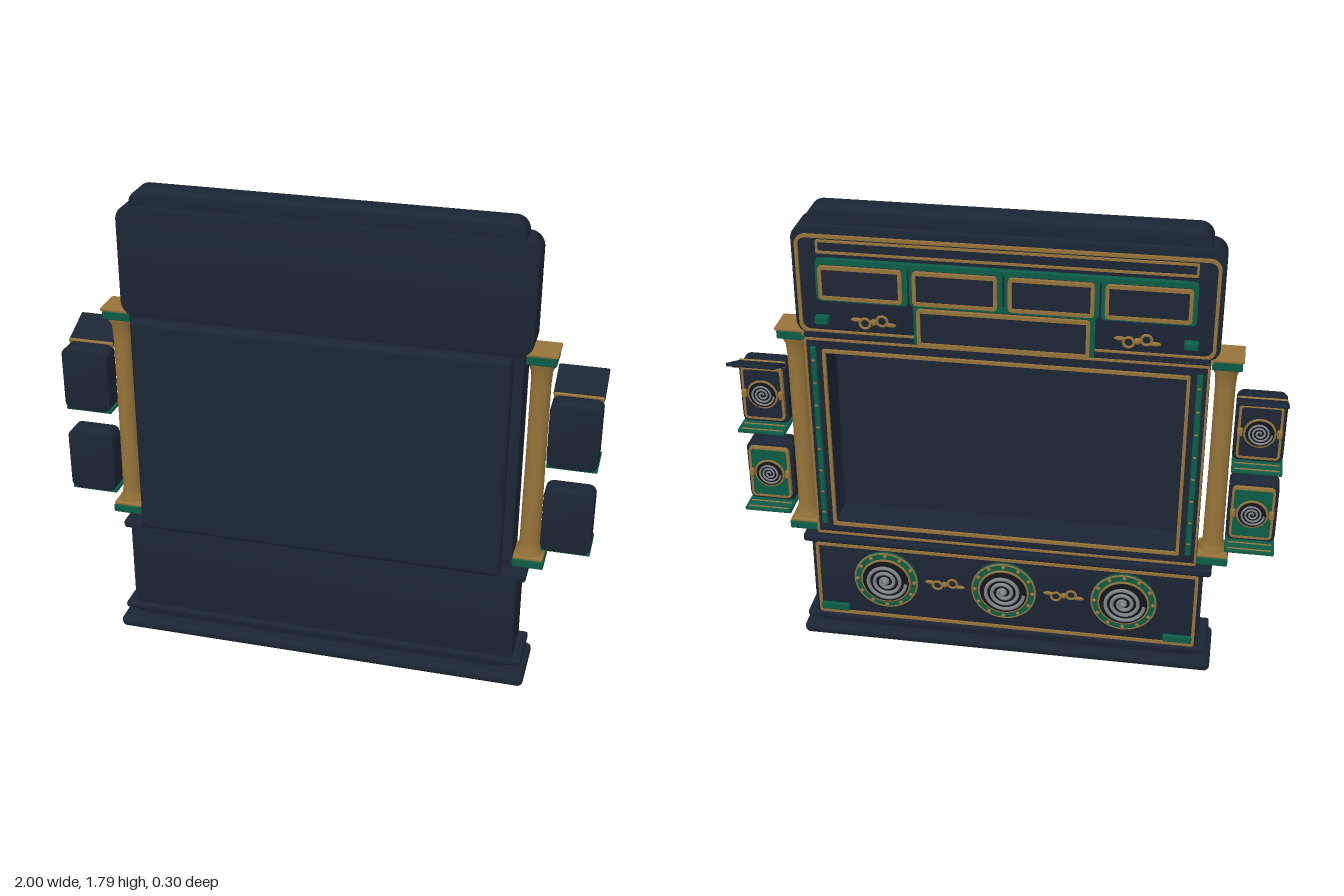
import * as THREE from 'three';
import { toCreasedNormals } from 'three/addons/utils/BufferGeometryUtils.js';
import { RoundedBoxGeometry } from 'three/addons/geometries/RoundedBoxGeometry.js';

const material = (name, color) => new THREE.MeshStandardMaterial({ name, color });

export function createModel() {
  const navy = material('navy', 0x1b2534);
  const gold = material('antique gold', 0x967339);
  const green = material('emerald', 0x0b5b46);
  const black = material('near black', 0x12161c);
  const silver = material('silver', 0x82868a);

  const model = new THREE.Group();
  model.name = 'cabinet';
  // Decorated face: local +z points to the rear of the cabinet
  const rear = new THREE.Group();
  rear.name = 'decoratedFace';
  rear.rotation.y = Math.PI;
  model.add(rear);

  const add = (parent, name, geometry, mat, x = 0, y = 0, z = 0) => {
    const mesh = new THREE.Mesh(geometry, mat);
    mesh.name = name;
    mesh.position.set(x, y, z);
    parent.add(mesh);
    return mesh;
  };
  const roundRect = (T, w, h, r) => {
    const s = new T(), a = w / 2, b = h / 2;
    s.moveTo(-a + r, -b);
    s.lineTo(a - r, -b); s.absarc(a - r, -b + r, r, -Math.PI / 2, 0);
    s.lineTo(a, b - r); s.absarc(a - r, b - r, r, 0, Math.PI / 2);
    s.lineTo(-a + r, b); s.absarc(-a + r, b - r, r, Math.PI / 2, Math.PI);
    s.lineTo(-a, -b + r); s.absarc(-a + r, -b + r, r, Math.PI, Math.PI * 1.5);
    return s;
  };
  // Box given by its limits, with softened edges
  const block = (parent, name, mat, x0, x1, y0, y1, z0, z1, r = 0.006) => {
    const w = x1 - x0, h = y1 - y0, d = z1 - z0;
    const geo = new RoundedBoxGeometry(w, h, d, 3, Math.min(r, w * 0.45, h * 0.45, d * 0.45));
    return add(parent, name, geo, mat, (x0 + x1) / 2, (y0 + y1) / 2, (z0 + z1) / 2);
  };
  // Plate with rounded outline and a small bevel, from z to z + d
  const slab = (parent, name, mat, w, h, d, r, x, y, z, bevel = 0) => {
    const shape = roundRect(THREE.Shape, w - 2 * bevel, h - 2 * bevel, r);
    const geo = new THREE.ExtrudeGeometry(shape, {
      depth: d - 2 * bevel, curveSegments: 6, bevelEnabled: bevel > 0,
      bevelSize: bevel, bevelThickness: bevel, bevelSegments: 2,
    });
    geo.translate(0, 0, bevel);
    return add(parent, name, toCreasedNormals(geo, 0.6), mat, x, y, z);
  };
  // Hollow rectangular moulding
  const frame = (parent, name, mat, w, h, t, d, r, x, y, z) => {
    const shape = roundRect(THREE.Shape, w, h, r);
    shape.holes.push(roundRect(THREE.Path, w - 2 * t, h - 2 * t, Math.max(r - t, 0.002)));
    const geo = new THREE.ExtrudeGeometry(shape, { depth: d, bevelEnabled: false, curveSegments: 6 });
    return add(parent, name, toCreasedNormals(geo, 0.6), mat, x, y, z);
  };
  const disc = (parent, name, mat, r, d, x, y, z) => {
    const geo = new THREE.CylinderGeometry(r, r, d, 32).rotateX(Math.PI / 2);
    return add(parent, name, geo, mat, x, y, z + d / 2);
  };
  const spiral = (parent, name, mat, r, turns, tube, x, y, z) => {
    const pts = [];
    for (let i = 0; i <= turns * 16; i++) {
      const a = (i / 16) * Math.PI * 2, q = r * (0.1 + 0.9 * i / (turns * 16));
      pts.push(new THREE.Vector3(q * Math.cos(a), q * Math.sin(a), 0));
    }
    const geo = new THREE.TubeGeometry(new THREE.CatmullRomCurve3(pts), turns * 28, tube, 6);
    return add(parent, name, geo, mat, x, y, z);
  };
  // Scroll ornament: two curls with leaves and a centre bead
  const scroll = (x, y, z, s) => {
    const g = new THREE.Group();
    g.name = 'scrollOrnament';
    g.position.set(x, y, z);
    g.scale.setScalar(s);
    rear.add(g);
    for (const k of [-1, 1]) {
      add(g, 'curl', new THREE.TorusGeometry(0.017, 0.005, 6, 16), gold, k * 0.028, k * 0.006, 0);
      add(g, 'leaf', new THREE.SphereGeometry(0.015, 10, 6).scale(1.3, 0.5, 0.4), gold, k * 0.056, -k * 0.006, 0);
    }
    add(g, 'bead', new THREE.SphereGeometry(0.012, 10, 8).scale(1, 1, 0.6), gold);
  };

  // Plinth and pedestal
  block(model, 'plinth', navy, -0.8, 0.8, 0.005, 0.052, -0.1, 0.15, 0.021);
  block(model, 'plinthStep', navy, -0.72, 0.72, 0.045, 0.09, -0.06, 0.1);
  slab(model, 'pedestal', navy, 1.5, 0.41, 0.18, 0.03, 0, 0.265, -0.075, 0.006);
  block(model, 'lowerMoulding', navy, -0.785, 0.785, 0.08, 0.107, -0.085, 0.122, 0.01);
  block(model, 'upperMoulding', navy, -0.78, 0.78, 0.438, 0.472, -0.09, 0.105, 0.012);
  frame(rear, 'pedestalTrim', gold, 1.47, 0.325, 0.012, 0.01, 0.012, 0, 0.272, 0.072);

  // Spiral medallions
  for (const x of [-0.46, 0, 0.46]) {
    const g = new THREE.Group();
    g.name = 'medallion';
    g.position.set(x, 0.29, 0.073);
    rear.add(g);
    disc(g, 'ring', green, 0.125, 0.016, 0, 0, 0);
    add(g, 'outerRim', new THREE.TorusGeometry(0.122, 0.004, 6, 40), gold, 0, 0, 0.014);
    add(g, 'innerRim', new THREE.TorusGeometry(0.094, 0.005, 6, 40), gold, 0, 0, 0.018);
    disc(g, 'cone', black, 0.092, 0.022, 0, 0, 0);
    spiral(g, 'spiral', silver, 0.08, 3, 0.0075, 0, 0, 0.024);
    add(g, 'hub', new THREE.SphereGeometry(0.014, 12, 8), silver, 0, 0, 0.024);
    for (let i = 0; i < 12; i++) {
      const a = i * Math.PI / 6;
      add(g, 'stud', new THREE.SphereGeometry(0.008, 8, 6), gold, 0.112 * Math.cos(a), 0.112 * Math.sin(a), 0.016);
    }
  }

  // Hollow middle section with a recess, plus the plain panel on the front
  frame(model, 'recessShell', navy, 1.44, 0.87, 0.075, 0.14, 0.006, 0, 0.9, -0.08);
  block(model, 'recessBack', navy, -0.67, 0.67, 0.5, 1.3, 0.055, 0.066);
  block(model, 'frontPanel', navy, -0.69, 0.69, 0.472, 1.332, 0.09, 0.145, 0.02);
  frame(rear, 'openingTrim', gold, 1.31, 0.745, 0.012, 0.012, 0.006, 0, 0.9, 0.078);
  frame(rear, 'middleTrim', gold, 1.44, 0.83, 0.008, 0.008, 0.006, 0, 0.9, 0.078);

  // Crest
  slab(model, 'crest', navy, 1.5, 0.42, 0.13, 0.05, 0, 1.526, -0.063, 0.006);
  slab(model, 'crestCap', navy, 1.4, 0.13, 0.113, 0.04, 0, 1.727, -0.05, 0.01);
  frame(rear, 'crestTrim', gold, 1.47, 0.375, 0.012, 0.012, 0.04, 0, 1.517, 0.06);
  frame(rear, 'crestBand', gold, 1.32, 0.05, 0.008, 0.01, 0.006, 0, 1.66, 0.06);
  block(rear, 'crestLedge', gold, -0.73, 0.73, 1.316, 1.328, 0.05, 0.08);
  const plaque = (x, y, w, h) => {
    slab(rear, 'plaqueBacking', green, w + 0.036, h + 0.036, 0.022, 0.015, x, y, 0.06);
    slab(rear, 'plaqueFace', navy, w, h, 0.037, 0.012, x, y, 0.062);
    frame(rear, 'plaqueTrim', gold, w + 0.006, h + 0.006, 0.013, 0.013, 0.014, x, y, 0.092);
  };
  for (const x of [-0.5, -0.167, 0.167, 0.5]) plaque(x, 1.54, 0.29, 0.12);
  plaque(0, 1.392, 0.6, 0.135);
  block(rear, 'plaqueRail', green, -0.63, 0.63, 1.595, 1.62, 0.055, 0.08);

  for (const s of [-1, 1]) {
    // Paired small ornaments
    scroll(s * 0.23, 0.29, 0.08, 1.05);
    scroll(s * 0.465, 1.385, 0.07, 1.1);
    block(rear, 'crestCornerPlate', green, s * 0.65 - 0.025, s * 0.65 + 0.025, 1.37, 1.4, 0.055, 0.09);
    block(rear, 'pedestalCornerPlate', green, s * 0.67 - 0.055, s * 0.67 + 0.055, 0.125, 0.155, 0.07, 0.09);
    // Slim pilaster with gold bands
    block(rear, 'pilaster', green, s * 0.688 - 0.011, s * 0.688 + 0.011, 0.53, 1.28, 0.07, 0.092);
    for (let i = 0; i < 8; i++) {
      const y = 0.58 + i * 0.092;
      block(rear, 'pilasterBand', gold, s * 0.688 - 0.007, s * 0.688 + 0.007, y, y + 0.008, 0.08, 0.095);
    }

    // Column with base and capital
    const profile = [[0.05, 0.515], [0.05, 0.53], [0.042, 0.54], [0.038, 0.565], [0.036, 0.9],
      [0.036, 1.2], [0.039, 1.25], [0.05, 1.275], [0.052, 1.295]];
    const shaft = new THREE.LatheGeometry(profile.map(p => new THREE.Vector2(...p)), 24);
    add(model, 'column', shaft, gold, s * 0.775, 0, 0);
    const tier = (name, mat, w, y0, y1) =>
      block(model, name, mat, s * 0.777 - w, s * 0.777 + w, y0, y1, -w - 0.005, w + 0.002, 0.005);
    tier('columnFoot', green, 0.058, 0.478, 0.51);
    tier('columnFootTrim', gold, 0.055, 0.508, 0.522);
    tier('capital', green, 0.053, 1.287, 1.32);
    tier('capitalTop', gold, 0.058, 1.32, 1.334);

    // Side boxes: the upper one has a raised lid
    for (const upper of [false, true]) {
      const g = new THREE.Group();
      g.name = upper ? 'upperSideBox' : 'lowerSideBox';
      g.position.set(s * 0.909, upper ? 1.035 : 0.695, 0);
      rear.add(g);
      slab(g, 'body', navy, 0.18, 0.25, 0.085, 0.024, 0, 0, -0.07, 0.005);
      slab(g, 'face', upper ? navy : green, 0.15, 0.21, 0.02, 0.014, 0, 0.005, 0.01);
      frame(g, 'faceTrim', gold, 0.156, 0.216, 0.009, 0.02, 0.018, 0, 0.005, 0.012);
      disc(g, 'cone', black, 0.052, 0.012, 0, 0.005, 0.026);
      add(g, 'coneRim', new THREE.TorusGeometry(0.054, 0.005, 6, 28), gold, 0, 0.005, 0.034);
      spiral(g, 'spiral', silver, 0.044, 3, 0.004, 0, 0.005, 0.039);
      block(g, 'shelf', green, -0.09, 0.09, -0.133, -0.119, -0.06, 0.092, 0.004);
      for (const z of [0.04, 0.08])
        block(g, 'shelfLine', gold, -0.08, 0.08, -0.121, -0.116, z - 0.003, z + 0.003, 0.002);
      for (const k of [-1, 1]) block(g, 'clasp', gold, k * 0.07 - 0.01, k * 0.07 + 0.01, -0.012, 0.022, 0.02, 0.042);
      if (!upper) continue;
      const lid = new THREE.Group();
      lid.name = 'lid';
      lid.position.set(0, 0.115, 0.012);
      lid.rotation.x = -0.4;
      g.add(lid);
      block(lid, 'lidPanel', navy, -0.09, 0.09, 0, 0.014, 0, 0.148, 0.006);
      frame(lid, 'lidTrim', gold, 0.15, 0.115, 0.007, 0.005, 0.01, 0, -0.004, 0.074).rotation.x = -Math.PI / 2;
      block(lid, 'hinge', gold, -0.088, 0.088, -0.004, 0.02, -0.006, 0.006);
    }
  }
  return model;
}
